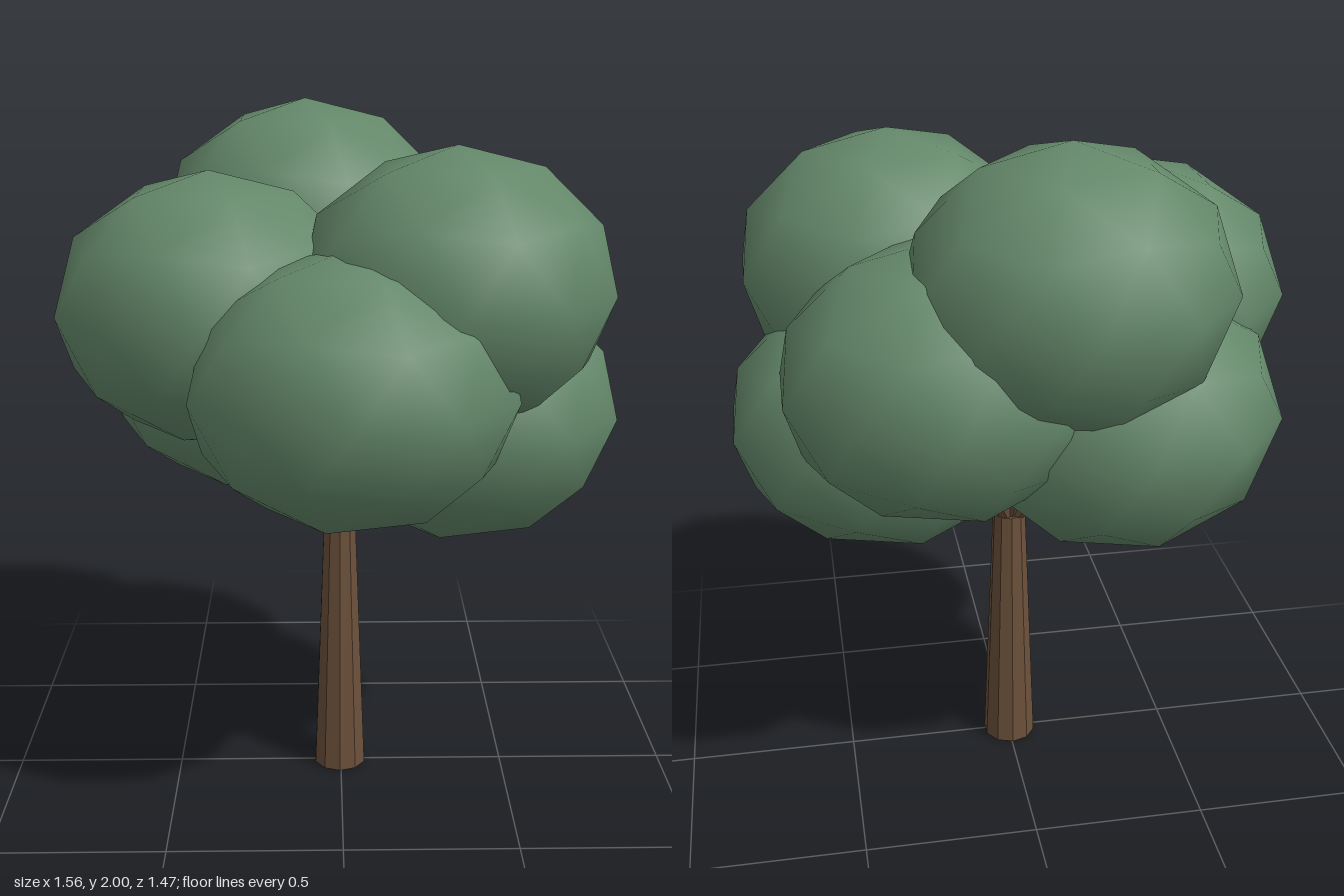
import * as THREE from 'three';

export function createModel() {
  const tree = new THREE.Group();
  tree.name = 'tree';
  const leaf = new THREE.MeshStandardMaterial({ color: 0x64886a });
  leaf.name = 'leaf green';
  const bark = new THREE.MeshStandardMaterial({ color: 0x6b503a, flatShading: true });
  bark.name = 'bark brown';

  // Trunk: tapered ten-sided column
  const trunk = new THREE.Mesh(new THREE.CylinderGeometry(0.049, 0.08, 0.8, 10), bark);
  trunk.name = 'trunk';
  trunk.position.set(-0.003, 0.4, -0.005);
  tree.add(trunk);

  // Low-poly ball with a vertex at each pole, smooth normals
  const ball = new THREE.IcosahedronGeometry(1, 1);
  ball.rotateZ(-Math.atan2(2, 1 + Math.sqrt(5)));

  // Leaf clumps: name, centre, x radius
  const clumps = [
    ['backTop', -0.1, 1.62, -0.35, 0.437],
    ['frontRightHigh', 0.305, 1.54, 0.185, 0.437],
    ['leftHigh', -0.36, 1.46, 0.055, 0.44],
    ['frontLow', 0.027, 1.3, 0.35, 0.45],
    ['rightLow', 0.352, 1.148, 0, 0.45],
    ['backLeftLow', -0.27, 1.222, -0.25, 0.442],
    ['backRight', 0.215, 1.37, -0.29, 0.447],
  ];
  const up = new THREE.Vector3(0, 1, 0);
  const fork = new THREE.Vector3(-0.003, 0.77, -0.005);
  for (const [name, x, y, z, r] of clumps) {
    const clump = new THREE.Mesh(ball, leaf);
    clump.name = name + 'Foliage';
    clump.position.set(x, y, z);
    clump.scale.set(r, 0.381, 0.387);
    tree.add(clump);

    // Branch from the trunk top into the clump
    const dir = clump.position.clone().sub(fork);
    const length = dir.length();
    const branch = new THREE.Mesh(new THREE.CylinderGeometry(0.014, 0.026, length, 6), bark);
    branch.name = name + 'Branch';
    branch.position.copy(fork).addScaledVector(dir, 0.5);
    branch.quaternion.setFromUnitVectors(up, dir.normalize());
    tree.add(branch);
  }
  return tree;
}
